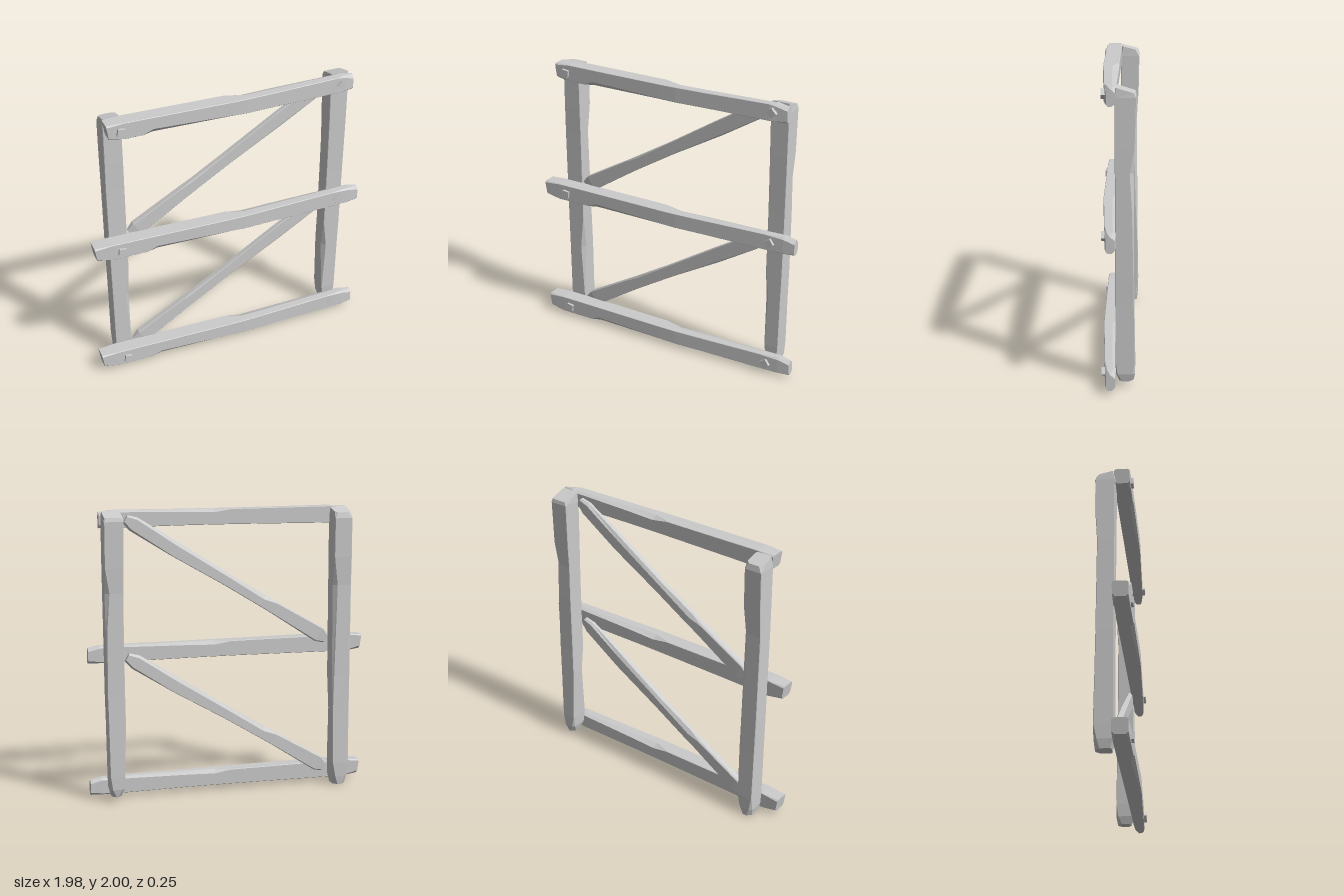
import * as THREE from 'three';

const material = new THREE.MeshStandardMaterial({ color: 0xcccccc, flatShading: true, side: THREE.DoubleSide });

// Hewn timber lofted through chamfered rectangles.
// Station: [t, u0, u1, v0, v1, chamfers of the 4 corners (number or [cu, cv]), slant of t along u]
// place(t, u, v) puts a point in space, with t = u x v.
function timber(name, stations, place) {
  const pos = [], idx = [];
  for (const [t, u0, u1, v0, v1, cut, slant = 0] of stations) {
    const [a, b, c, d] = cut.map((k) => (Array.isArray(k) ? k : [k, k]));
    const ring = [
      [u0, v0 + a[1]], [u0 + a[0], v0],
      [u1 - b[0], v0], [u1, v0 + b[1]],
      [u1, v1 - c[1]], [u1 - c[0], v1],
      [u0 + d[0], v1], [u0, v1 - d[1]],
    ];
    for (const [u, v] of ring) pos.push(...place(t + slant * (u - (u0 + u1) / 2), u, v));
  }
  const last = (stations.length - 1) * 8;
  for (let s = 0; s < last; s += 8) {
    for (let i = 0; i < 8; i++) {
      const j = (i + 1) % 8;
      idx.push(s + i, s + j, s + 8 + j, s + i, s + 8 + j, s + 8 + i);
    }
  }
  for (let i = 1; i < 7; i++) idx.push(0, i + 1, i, last, last + i, last + i + 1);
  const indexed = new THREE.BufferGeometry();
  indexed.setAttribute('position', new THREE.Float32BufferAttribute(pos, 3));
  indexed.setIndex(idx);
  const geometry = indexed.toNonIndexed();
  geometry.computeVertexNormals();
  const mesh = new THREE.Mesh(geometry, material);
  mesh.name = name;
  return mesh;
}

const E = 0.003; // nearly sharp edge

// Rail along x; corners: bottom back, top back, top front, bottom front
function rail(name, y, x0, x1) {
  const stations = [
    [x0 + 0.015, 0.012, 0.115, 0.0, 0.105, [0.02, 0.01, 0.01, 0.015], -0.15],
    [x0 + 0.13, 0.002, 0.12, 0.0, 0.108, [E, E, E, E]],
    [-0.62, 0.003, 0.119, 0.0, 0.108, [E, E, E, E]],
    [-0.55, 0.004, 0.118, 0.0, 0.108, [E, E, E, [0.03, 0.025]]],
    [-0.02, 0.008, 0.114, 0.0, 0.108, [E, E, E, [0.008, 0.01]]],
    [0.1, 0.008, 0.114, 0.0, 0.107, [E, [0.022, 0.045], E, E]],
    [0.3, 0.008, 0.114, 0.0, 0.098, [E, [0.016, 0.04], E, E]],
    [0.78, 0.003, 0.118, 0.0, 0.077, [E, [0.012, 0.025], E, E]],
    [x1 - 0.08, 0.001, 0.118, 0.0, 0.07, [0.01, 0.015, 0.012, 0.005]],
    [x1, 0.0, 0.108, 0.004, 0.06, [0.02, 0.025, 0.025, 0.012]],
  ];
  const mesh = timber(name, stations, (t, u, v) => [t, u, v]);
  mesh.position.y = y;
  return mesh;
}

// Post along y, inner side towards v = +0.065; corners: back outer, front outer, front inner, back inner
function post(name, x, mirror, stations) {
  // mirrored posts flip v and swap the corners so faces stay outward
  const list = mirror
    ? stations.map(([t, a, b, v0, v1, [p, q, r, s], k]) => [t, a, b, -v1, -v0, [s, r, q, p], k])
    : stations;
  const mesh = timber(name, list, (t, u, v) => [v, t, u]);
  mesh.position.x = x;
  return mesh;
}

// Diagonal brace lying in the plane between the posts
function brace(name, y) {
  const stations = [
    [-0.83, -0.035, 0.035, -0.035, 0.0, [0.01, 0.012, E, E]],
    [-0.77, -0.055, 0.055, -0.043, 0.008, [0.008, 0.008, E, E]],
    [-0.38, -0.043, 0.045, -0.042, 0.008, [E, 0.01, E, E]],
    [-0.28, -0.042, 0.044, -0.045, 0.008, [E, [0.03, 0.018], [0.012, 0.006], E]],
    [0.02, -0.042, 0.042, -0.044, 0.008, [E, [0.022, 0.014], E, E]],
    [0.44, -0.054, 0.05, -0.04, 0.008, [E, [0.026, 0.014], E, [0.01, 0.006]]],
    [0.78, -0.052, 0.052, -0.036, 0.008, [0.012, 0.016, E, E]],
    [0.85, -0.032, 0.03, -0.03, 0.003, [0.012, 0.012, E, E]],
  ];
  const mesh = timber(name, stations, (t, u, v) => [t, u, v]);
  mesh.rotation.z = 0.55;
  mesh.position.y = y;
  return mesh;
}

export function createModel() {
  const group = new THREE.Group();

  // Posts, narrowed and hacked at the ends
  group.add(post('rightPost', -0.8, false, [
    [0.0, -0.115, -0.01, -0.045, 0.045, [0.03, 0.01, 0.01, 0.03]],
    [0.06, -0.122, 0.0, -0.055, 0.055, [0.02, E, E, 0.02]],
    [0.16, -0.125, 0.004, -0.058, 0.058, [E, E, E, E]],
    [0.55, -0.118, 0.004, -0.06, 0.062, [E, E, [0.03, 0.026], E]],
    [0.8, -0.115, 0.004, -0.062, 0.065, [E, E, E, [0.012, 0.012]]],
    [1.45, -0.11, 0.006, -0.064, 0.066, [E, E, E, [0.025, 0.03]]],
    [1.65, -0.122, 0.008, -0.062, 0.066, [E, E, E, E]],
    [1.92, -0.127, 0.008, -0.06, 0.066, [E, E, E, E]],
    [1.975, -0.118, 0.0, -0.055, 0.062, [0.02, 0.01, 0.01, 0.02], 0.25],
  ]));
  group.add(post('leftPost', 0.825, true, [
    [0.035, -0.115, -0.02, -0.035, 0.035, [0.03, 0.02, 0.02, 0.03]],
    [0.09, -0.125, 0.0, -0.047, 0.05, [0.015, 0.01, 0.01, 0.015]],
    [0.18, -0.125, 0.004, -0.048, 0.056, [E, E, E, E]],
    [0.57, -0.118, 0.004, -0.053, 0.066, [E, E, [0.03, 0.028], E]],
    [0.76, -0.115, 0.004, -0.057, 0.064, [E, E, E, E]],
    [1.2, -0.114, 0.004, -0.06, 0.062, [[0.012, 0.01], E, E, E]],
    [1.45, -0.112, 0.006, -0.062, 0.063, [[0.025, 0.03], E, E, E]],
    [1.62, -0.12, 0.008, -0.063, 0.064, [E, E, E, E]],
    [1.93, -0.128, 0.008, -0.064, 0.068, [E, E, E, E]],
    [1.975, -0.122, 0.002, -0.06, 0.064, [0.01, E, E, 0.01], 0.3],
  ]));

  // Rails across the front
  group.add(rail('bottomRail', 0.025, -1.0, 0.99));
  group.add(rail('middleRail', 0.957, -1.0, 0.99));
  group.add(rail('topRail', 1.878, -0.87, 0.9));

  // Diagonal braces
  group.add(brace('lowerBrace', 0.55), brace('upperBrace', 1.495));

  // Square pegs: x, y, front z, turn
  const pegs = [
    [-0.805, 0.08, 0.125, -0.15], [0.815, 0.085, 0.095, 0.6],
    [-0.805, 1.015, 0.125, -0.15], [0.815, 1.02, 0.095, 0.6],
    [-0.77, 1.938, 0.125, -0.15], [0.8, 1.94, 0.095, 0.75],
  ];
  for (const [x, y, front, turn] of pegs) {
    const peg = new THREE.Mesh(new THREE.BoxGeometry(0.05, 0.05, 0.06), material);
    peg.name = 'peg';
    peg.position.set(x, y, front - 0.03);
    peg.rotation.z = turn;
    group.add(peg);
  }
  return group;
}
